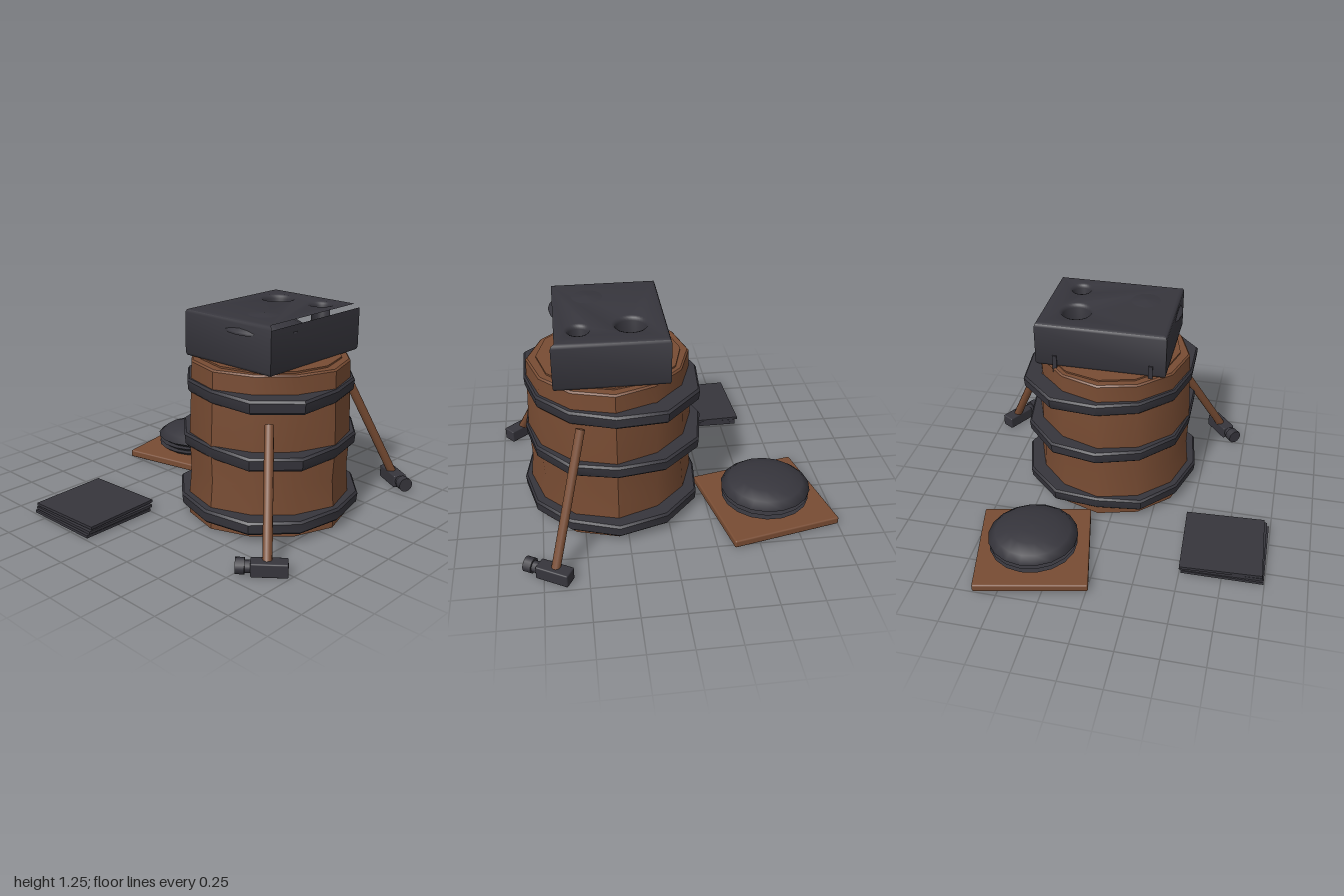
import * as THREE from 'three';
import { toCreasedNormals } from 'three/addons/utils/BufferGeometryUtils.js';
import { RoundedBoxGeometry } from 'three/addons/geometries/RoundedBoxGeometry.js';

const wood = new THREE.MeshStandardMaterial({ color: 0x784c33 });
wood.name = 'brownWood';
const iron = new THREE.MeshStandardMaterial({ color: 0x36353c });
iron.name = 'darkIron';

function add(parent, name, geometry, material, x = 0, y = 0, z = 0, ry = 0) {
  const mesh = new THREE.Mesh(geometry, material);
  mesh.name = name;
  mesh.position.set(x, y, z);
  mesh.rotation.y = ry;
  parent.add(mesh);
  return mesh;
}

// Twelve-sided lathe whose corners are pushed in or out by a list of factors
function roughLathe(profile, factors) {
  const g = new THREE.LatheGeometry(profile.map(([r, y]) => new THREE.Vector2(r, y)), 12);
  const p = g.attributes.position;
  for (let i = 0; i < p.count; i++) {
    const f = factors[Math.floor(i / profile.length) % 12];
    p.setX(i, p.getX(i) * f);
    p.setZ(i, p.getZ(i) * f);
  }
  return toCreasedNormals(g, 0.62);
}

// Round bar between two points
function bar(parent, name, a, b, r) {
  const from = new THREE.Vector3(...a), to = new THREE.Vector3(...b);
  const dir = to.clone().sub(from);
  const mesh = add(parent, name, new THREE.CylinderGeometry(r, r, dir.length(), 10), wood);
  mesh.position.copy(from).add(to).multiplyScalar(0.5);
  mesh.quaternion.setFromUnitVectors(new THREE.Vector3(0, 1, 0), dir.normalize());
}

function hammer(root, name, top, foot, headX, headZ, angle) {
  const g = new THREE.Group();
  g.name = name;
  root.add(g);
  bar(g, 'handle', top, foot, 0.027);
  const head = new THREE.Group();
  head.name = 'hammerHead';
  head.position.set(headX, 0, headZ);
  head.rotation.y = angle;
  g.add(head);
  add(head, 'headBlock', new RoundedBoxGeometry(0.2, 0.08, 0.085, 2, 0.008), iron, 0.03, 0.046, 0);
  const knob = new THREE.CylinderGeometry(0.045, 0.045, 0.05, 12).rotateZ(Math.PI / 2);
  add(head, 'headKnob', knob, iron, -0.125, 0.053, 0);
  const neck = new THREE.CylinderGeometry(0.034, 0.034, 0.05, 12).rotateZ(Math.PI / 2);
  add(head, 'headNeck', neck, iron, -0.085, 0.05, 0);
}

function buildBarrel(root) {
  const g = new THREE.Group();
  g.name = 'barrel';
  g.position.set(0.09, 0, 0.305);
  root.add(g);
  const body = [[0, 0.005], [0.5, 0.005], [0.5, 0.12], [0.485, 0.3], [0.495, 0.5],
    [0.485, 0.75], [0.48, 0.95], [0.47, 0.96], [0, 0.96]];
  add(g, 'barrelBody', roughLathe(body, [1, 0.98, 0.99, 1, 0.95, 0.95, 0.98, 0.98, 0.99, 1, 0.95, 0.95]), wood);
  add(g, 'barrelLid', new THREE.CylinderGeometry(0.42, 0.42, 0.012, 12), wood, 0, 0.964, 0);

  // Bands: lower edge and corner radii, starting at the front
  const bands = [
    [0.06, [0.54, 0.55, 0.56, 0.58, 0.57, 0.56, 0.51, 0.55, 0.54, 0.55, 0.58, 0.57]],
    [0.44, [0.51, 0.52, 0.54, 0.53, 0.56, 0.57, 0.545, 0.53, 0.52, 0.5, 0.57, 0.57]],
    [0.77, [0.5, 0.5, 0.51, 0.53, 0.58, 0.57, 0.515, 0.5, 0.5, 0.5, 0.57, 0.58]],
  ];
  for (const [y, radii] of bands) {
    const profile = [[0.8, y], [0.97, y], [0.99, y + 0.012], [1, y + 0.066], [0.98, y + 0.08], [0.8, y + 0.08]];
    add(g, 'ironBand', roughLathe(profile, radii), iron);
  }
}

function buildTopBox(root) {
  const g = new THREE.Group();
  g.name = 'topBox';
  root.add(g);
  const b = 0.022, x0 = -0.29 + b, x1 = 0.5 - b, z0 = -0.01 + b, z1 = 0.635 - b;
  // Plan drawn with shape y = -z, with two round holes right through
  const plan = new THREE.Shape([[x0, -z1], [x1, -z1], [x1, -z0], [x0, -z0]].map(([x, y]) => new THREE.Vector2(x, y)));
  for (const [x, z, r] of [[0.29, 0.19, 0.085], [0.33, 0.48, 0.055]]) {
    plan.holes.push(new THREE.Path().absarc(x, -z, r + b, 0, Math.PI * 2, true));
  }
  const box = new THREE.ExtrudeGeometry(plan, {
    depth: 0.28 - 2 * b, bevelThickness: b, bevelSize: b, bevelSegments: 2, curveSegments: 16,
  }).rotateX(-Math.PI / 2).translate(0, 0.962 + b, 0);
  // Leave the upper front edge open as a narrow slot
  const p = box.attributes.position, kept = [];
  for (let i = 0; i < p.count; i += 3) {
    let slot = true;
    for (let j = i; j < i + 3; j++) slot = slot && p.getY(j) > 1.215 && p.getZ(j) > 0.6;
    if (!slot) for (let j = i; j < i + 3; j++) kept.push(p.getX(j), p.getY(j), p.getZ(j));
  }
  const open = new THREE.BufferGeometry();
  open.setAttribute('position', new THREE.BufferAttribute(new Float32Array(kept), 3));
  add(g, 'boxShell', toCreasedNormals(open, 0.8), iron);

  // Shallow dish breaking through the top, front and side
  const dish = [[0.225, 1.165], [0.228, 1.18], [0.16, 1.222], [0.09, 1.242], [0, 1.25]];
  add(g, 'shallowDish', new THREE.LatheGeometry(dish.map(([r, y]) => new THREE.Vector2(r, y)), 20), iron, -0.09, 0, 0.41);

  // Hooks at the back
  for (const x of [0.38, -0.2]) {
    add(g, 'hookStem', new THREE.BoxGeometry(0.025, 0.11, 0.014), iron, x, 0.985, -0.012);
    add(g, 'hookFoot', new THREE.BoxGeometry(0.025, 0.03, 0.045), iron, x, 0.945, 0.008);
  }
}

function buildBoard(root) {
  const g = new THREE.Group();
  g.name = 'boardWithDiscs';
  g.position.set(0.385, 0, -0.605);
  root.add(g);
  add(g, 'woodenBoard', new RoundedBoxGeometry(0.67, 0.047, 0.67, 2, 0.01), wood, 0, 0.032, 0, 0.21);
  // Stacked flared discs under a dome
  for (let i = 0; i < 3; i++) {
    add(g, 'flaredDisc', new THREE.CylinderGeometry(0.265, 0.225, 0.027, 18), iron, 0, 0.075 + i * 0.029, 0);
  }
  const dome = [[0.235, 0.132], [0.27, 0.148], [0.225, 0.184], [0.15, 0.21], [0.07, 0.221], [0, 0.224]];
  add(g, 'dome', new THREE.LatheGeometry(dome.map(([r, y]) => new THREE.Vector2(r, y)), 18), iron);
}

export function createModel() {
  const root = new THREE.Group();
  root.name = 'workshopBarrel';
  buildBarrel(root);
  buildTopBox(root);
  buildBoard(root);

  // Leaning hammers
  hammer(root, 'rightHammer', [-0.275, 0.69, 0.62], [-0.575, 0.06, 0.88], -0.59, 0.868, -0.87);
  hammer(root, 'leftHammer', [0.58, 0.77, 0.5], [0.9, 0.06, 0.685], 0.882, 0.715, 1.05);

  // Stack of iron sheets
  [[-0.75, -0.355, 0.01], [-0.74, -0.352, 0.025], [-0.73, -0.36, 0.05]].forEach(([x, z, ry], i) => {
    add(root, 'ironSheet', new THREE.BoxGeometry(0.485, 0.017, 0.49), iron, x, 0.019 + i * 0.022, z, ry);
  });
  return root;
}
